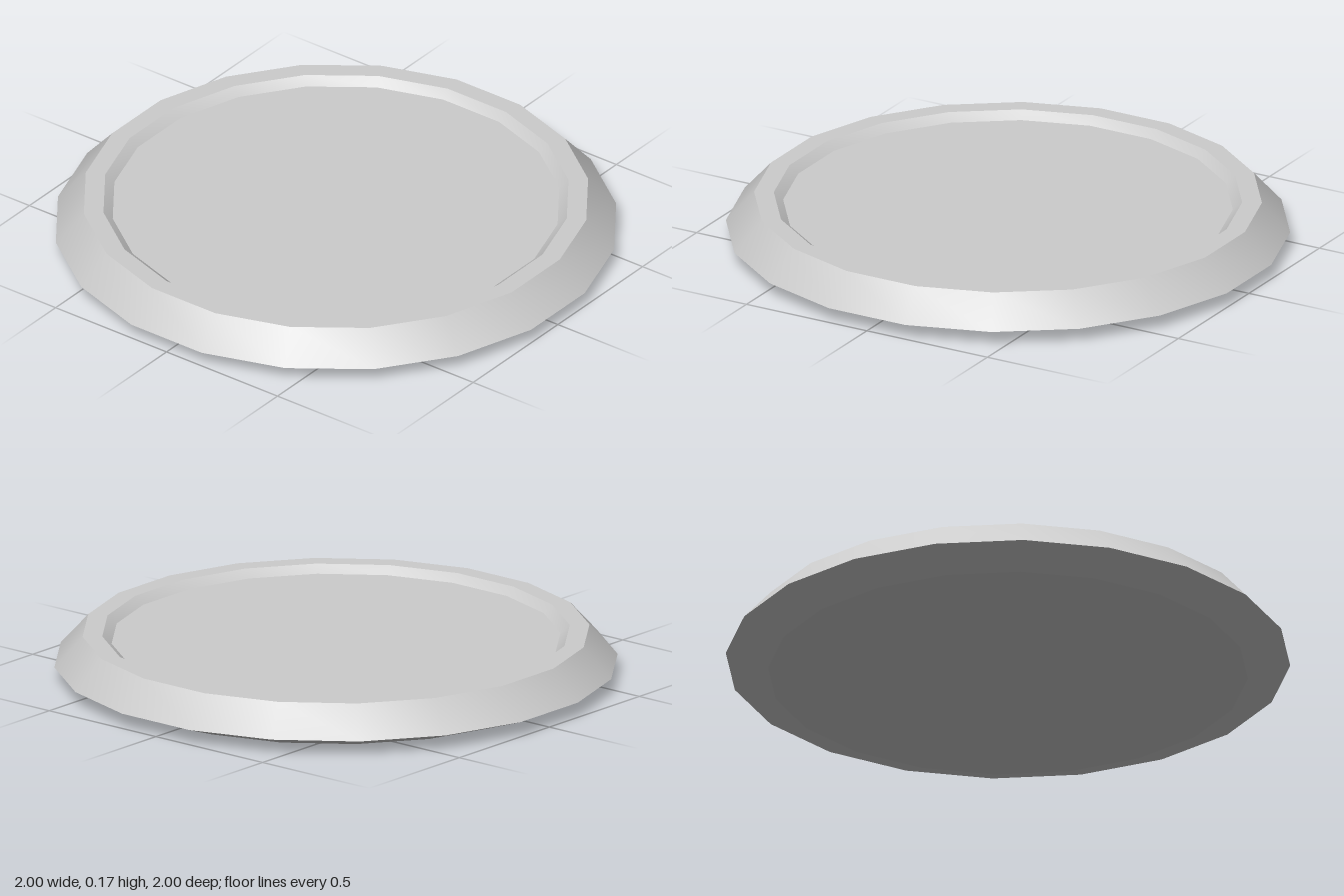
import * as THREE from 'three';
import { toCreasedNormals } from 'three/addons/utils/BufferGeometryUtils.js';

const SIDES = 20;

export function createModel() {
  const group = new THREE.Group();
  group.name = 'roundTray';

  // Half-section, measured to the middle of the flats: [distance, height]
  const profile = [
    [0, 0],         // underside centre
    [0.85, 0],      // underside edge
    [1, 0.055],     // widest edge
    [0.9, 0.167],   // outer rim
    [0.83, 0.167],  // inner rim
    [0.797, 0.139], // recessed floor edge
    [0, 0.139],     // floor centre
  ];
  const toCorner = 1 / Math.cos(Math.PI / SIDES);
  const points = profile.map(([r, y]) => new THREE.Vector2(r * toCorner, y));

  // Turned by half a side so that flats face the axes
  const lathe = new THREE.LatheGeometry(points, SIDES, Math.PI / SIDES);

  // Smooth around the disc, sharp between the bands
  const tray = new THREE.Mesh(
    toCreasedNormals(lathe, THREE.MathUtils.degToRad(19)),
    new THREE.MeshStandardMaterial({ color: 0xcccccc })
  );
  tray.name = 'trayBody';
  group.add(tray);
  return group;
}
